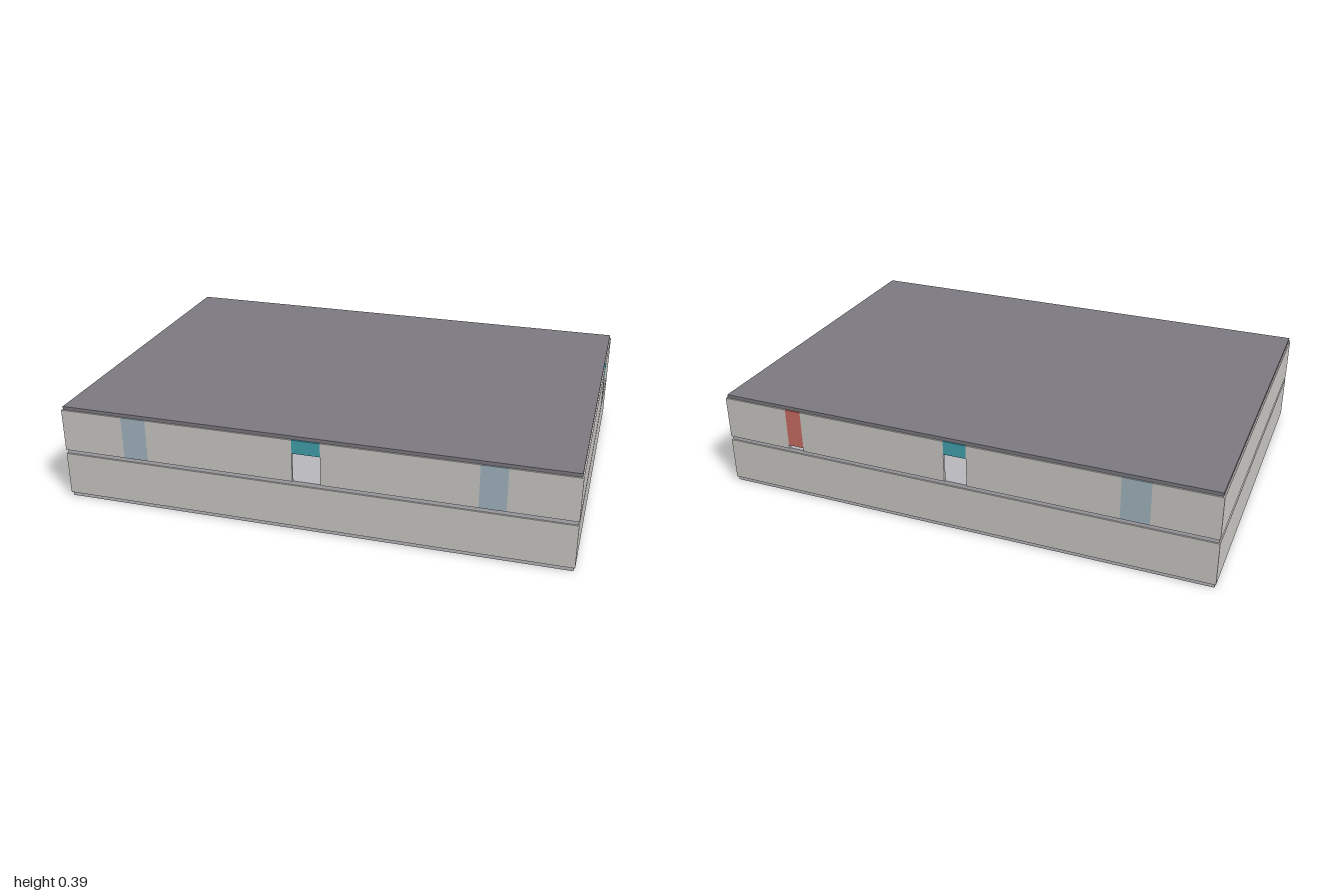
import * as THREE from 'three';

const W = 2, D = 1.4, T = 0.012; // outer width, outer depth, wall thickness
const mat = (color) => new THREE.MeshStandardMaterial({ color, flatShading: true });

export function createModel() {
  const model = new THREE.Group();
  const mats = {
    wall: mat(0xcbc9c4), slab: mat(0xb8b8bd), roof: mat(0x7c7a81),
    glass: mat(0xa3b6c1), transom: mat(0x42a2af), shutter: mat(0xc96e63),
  };

  // Box given by its extents along x and y, centred on z
  function box(parent, name, material, x0, x1, y0, y1, depth) {
    const mesh = new THREE.Mesh(new THREE.BoxGeometry(x1 - x0, y1 - y0, depth), material);
    mesh.position.set((x0 + x1) / 2, (y0 + y1) / 2, 0);
    mesh.name = name;
    parent.add(mesh);
    return mesh;
  }

  // One straight wall facing +z locally, split around its openings (sorted by position)
  function wall(name, length, y0, y1, openings = []) {
    const group = new THREE.Group();
    group.name = name;
    let start = -length / 2;
    for (const { type, at, width } of openings) {
      const a = at - width / 2, b = at + width / 2;
      box(group, 'wallPanel', mats.wall, start, a, y0, y1, T);
      if (type === 'window') box(group, 'windowPane', mats.glass, a, b, y0, y1, T);
      if (type === 'door') box(group, 'doorTransom', mats.transom, a, b, 0.323, y1, T);
      if (type === 'shutter') box(group, 'redShutter', mats.shutter, a, b, y0 + 0.015, y1, T);
      start = b;
    }
    box(group, 'wallPanel', mats.wall, start, length / 2, y0, y1, T);
    return group;
  }

  // Four walls of a storey; openings are listed left to right as seen from outside
  function storey(name, y0, y1, openings = {}) {
    const group = new THREE.Group();
    group.name = name;
    const sides = [
      ['front', W, 0, 0, D / 2 - T / 2],
      ['left', D - 2 * T, Math.PI / 2, W / 2 - T / 2, 0],
      ['back', W, Math.PI, 0, -D / 2 + T / 2],
      ['right', D - 2 * T, -Math.PI / 2, -W / 2 + T / 2, 0],
    ];
    for (const [side, length, turn, x, z] of sides) {
      const w = wall(side + 'Wall', length, y0, y1, openings[side]);
      w.rotation.y = turn;
      w.position.set(x, 0, z);
      group.add(w);
    }
    model.add(group);
    return group;
  }

  // Slabs, set back slightly from the wall faces
  const slab = (name, material, y0, y1) =>
    box(model, name, material, -W / 2 + 0.005, W / 2 - 0.005, y0, y1, D - 0.012);
  slab('groundSlab', mats.slab, 0, 0.016);
  slab('middleSlab', mats.slab, 0.19, 0.206);
  slab('roofSlab', mats.roof, 0.378, 0.392);

  // Plain lower storey and the upper storey with its doors and windows
  storey('lowerStorey', 0.016, 0.19);
  const upper = storey('upperStorey', 0.206, 0.378, {
    front: [
      { type: 'window', at: -0.695, width: 0.1 },
      { type: 'door', at: 0, width: 0.11 },
      { type: 'window', at: 0.695, width: 0.1 },
    ],
    left: [{ type: 'door', at: 0.348, width: 0.062 }],
    back: [
      { type: 'shutter', at: -0.692, width: 0.066 },
      { type: 'door', at: 0, width: 0.092 },
      { type: 'window', at: 0.695, width: 0.11 },
    ],
  });

  // Inner partition between the front and back halves
  box(upper, 'partition', mats.wall, -W / 2 + T, W / 2 - T, 0.206, 0.378, T);

  return model;
}
